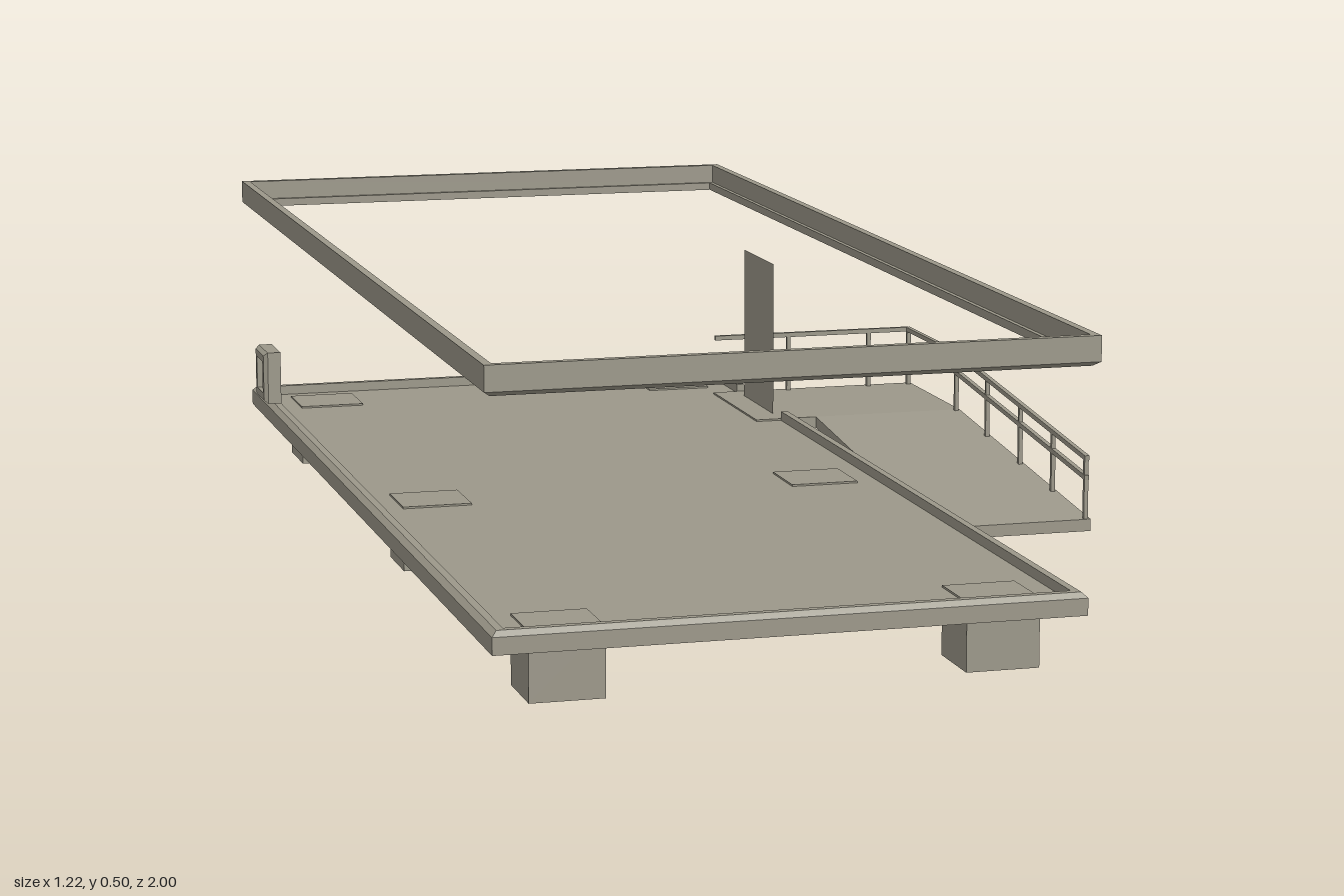
import * as THREE from 'three';

const concrete = new THREE.MeshStandardMaterial({ color: 0x9c988a, side: THREE.DoubleSide });
concrete.name = 'warm grey';

function add(group, name, geometry) {
  const mesh = new THREE.Mesh(geometry, concrete);
  mesh.name = name;
  group.add(mesh);
  return mesh;
}

// Box given by its min and max on each axis
function block(group, name, x0, x1, y0, y1, z0, z1) {
  return add(group, name, new THREE.BoxGeometry(x1 - x0, y1 - y0, z1 - z0)
    .translate((x0 + x1) / 2, (y0 + y1) / 2, (z0 + z1) / 2));
}

// Square bar between two points
function bar(group, name, a, b, t) {
  const p = new THREE.Vector3(...a), q = new THREE.Vector3(...b);
  const mesh = add(group, name, new THREE.BoxGeometry(t, t, p.distanceTo(q)));
  mesh.position.copy(p).add(q).multiplyScalar(0.5);
  mesh.lookAt(q);
  return mesh;
}

// Sweep a closed profile of [inset, y] along [x, z, insetX, insetZ] stations
function sweep(profile, stations, capped) {
  const pos = [];
  const pt = (s, p) => [s[0] + s[2] * p[0], p[1], s[1] + s[3] * p[0]];
  const n = profile.length;
  for (let i = 0; i < stations.length - 1; i++) {
    for (let j = 0; j < n; j++) {
      const a = pt(stations[i], profile[j]), b = pt(stations[i], profile[(j + 1) % n]);
      const c = pt(stations[i + 1], profile[(j + 1) % n]), d = pt(stations[i + 1], profile[j]);
      pos.push(...a, ...b, ...c, ...a, ...c, ...d);
    }
  }
  if (capped) {
    const s = stations[0], e = stations[stations.length - 1];
    for (let j = 1; j < n - 1; j++) {
      pos.push(...pt(s, profile[0]), ...pt(s, profile[j + 1]), ...pt(s, profile[j]));
      pos.push(...pt(e, profile[0]), ...pt(e, profile[j]), ...pt(e, profile[j + 1]));
    }
  }
  const g = new THREE.BufferGeometry();
  g.setAttribute('position', new THREE.Float32BufferAttribute(pos, 3));
  g.computeVertexNormals();
  return g;
}

function createFloor() {
  const floor = new THREE.Group();
  floor.name = 'floor';
  block(floor, 'floorSlab', -0.585, 0.285, 0.084, 0.102, -0.985, 0.985);
  // Chamfered kerb, open where the landing comes in
  add(floor, 'floorRim', sweep(
    [[0, 0.084], [0, 0.11], [0.008, 0.118], [0.02, 0.118], [0.02, 0.084]],
    [[0.29, -0.48, -1, 0], [0.29, 0.99, -1, -1], [-0.59, 0.99, 1, -1],
      [-0.59, -0.99, 1, 1], [0.29, -0.99, -1, 1], [0.29, -0.76, -1, 0]], true));
  // Footing blocks whose tops just break through the slab
  for (const x of [-0.472, 0.177]) {
    for (const z of [-0.88, 0.025, 0.89]) {
      block(floor, 'footing', x - 0.056, x + 0.056, 0, 0.105, z - 0.055, z + 0.055);
    }
  }
  return floor;
}

function createRamp() {
  const ramp = new THREE.Group();
  ramp.name = 'entranceRamp';
  // Landing and slope in one side profile
  const side = new THREE.Shape([[-0.76, 0.085], [-0.48, 0.085], [0.18, 0.02], [0.18, 0.04],
    [-0.48, 0.105], [-0.76, 0.105]].map(([z, y]) => new THREE.Vector2(z, y)));
  add(ramp, 'rampDeck', new THREE.ExtrudeGeometry(side, { depth: 0.27, bevelEnabled: false })
    .rotateY(-Math.PI / 2).translate(0.605, 0, 0));
  block(ramp, 'landingBridge', 0.225, 0.335, 0.085, 0.105, -0.76, -0.48);

  // Support legs
  for (const x of [0.365, 0.556]) {
    for (const [z, top] of [[-0.715, 0.09], [-0.475, 0.09], [-0.13, 0.06]]) {
      block(ramp, 'rampLeg', x - 0.01, x + 0.01, 0, top, z - 0.013, z + 0.013);
    }
  }

  // Two-bar railing round the back and along the outer side
  const rx = 0.597, rz = -0.75;
  for (const h of [0.103, 0.07]) {
    const y = 0.105 + h, low = 0.04 + h;
    bar(ramp, 'backRail', [0.225, y, rz], [rx, y, rz], 0.008);
    bar(ramp, 'landingRail', [rx, y, rz], [rx, y, -0.48], 0.008);
    bar(ramp, 'slopeRail', [rx, y, -0.48], [rx, low, 0.18], 0.008);
  }
  for (const x of [0.365, 0.52]) bar(ramp, 'railPost', [x, 0.1, rz], [x, 0.208, rz], 0.007);
  for (const z of [-0.747, -0.475, -0.31, -0.14, 0.02, 0.175]) {
    const y = 0.105 - Math.max(0, z + 0.48) * 0.065 / 0.66;
    bar(ramp, 'railPost', [rx, y - 0.005, z], [rx, y + 0.103, z], 0.007);
  }
  return ramp;
}

function createWindow() {
  const win = new THREE.Group();
  win.name = 'wallWindow';
  const cy = 0.175, cz = -0.785, r = 0.046;
  // Square frame with a chamfered outer edge, [distance from centre, x]
  const frame = [[r, -0.58], [r, -0.603], [r - 0.006, -0.61], [0.028, -0.61], [0.028, -0.58]];
  const corners = [[1, 1], [1, -1], [-1, -1], [-1, 1], [1, 1]];
  const stations = corners.map(([a, b]) => [0, 0, a, b]);
  const g = sweep(frame, stations, false);
  // Turn the ring so that its axis runs along x
  g.rotateZ(Math.PI / 2).scale(-1, 1, 1);
  const p = g.attributes.position;
  for (let i = 0; i < p.count; i += 3) {
    const b = [p.getX(i + 1), p.getY(i + 1), p.getZ(i + 1)];
    p.setXYZ(i + 1, p.getX(i + 2), p.getY(i + 2), p.getZ(i + 2));
    p.setXYZ(i + 2, ...b);
  }
  // Face the ring outward and seat it in the wall
  g.translate(0, cy, cz);
  g.computeVertexNormals();
  add(win, 'windowFrame', g);
  block(win, 'windowPane', -0.598, -0.592, cy - 0.03, cy + 0.03, cz - 0.03, cz + 0.03);
  return win;
}

export function createModel() {
  const model = new THREE.Group();
  model.name = 'cabinBase';
  model.add(createFloor(), createRamp(), createWindow());

  // Roof ring with a chamfered lower edge and an inner ledge
  add(model, 'roofFrame', sweep(
    [[0.01, 0.45], [0, 0.457], [0, 0.495], [0.013, 0.495], [0.013, 0.463], [0.02, 0.463], [0.02, 0.45]],
    [[0.3, -1, -1, 1], [0.3, 1, -1, -1], [-0.6, 1, 1, -1], [-0.6, -1, 1, 1], [0.3, -1, -1, 1]], false));

  // Thin door leaf standing on the landing
  const door = add(model, 'door', new THREE.PlaneGeometry(0.185, 0.27).rotateY(Math.PI / 2));
  door.position.set(0.27, 0.24, -0.62);
  return model;
}
